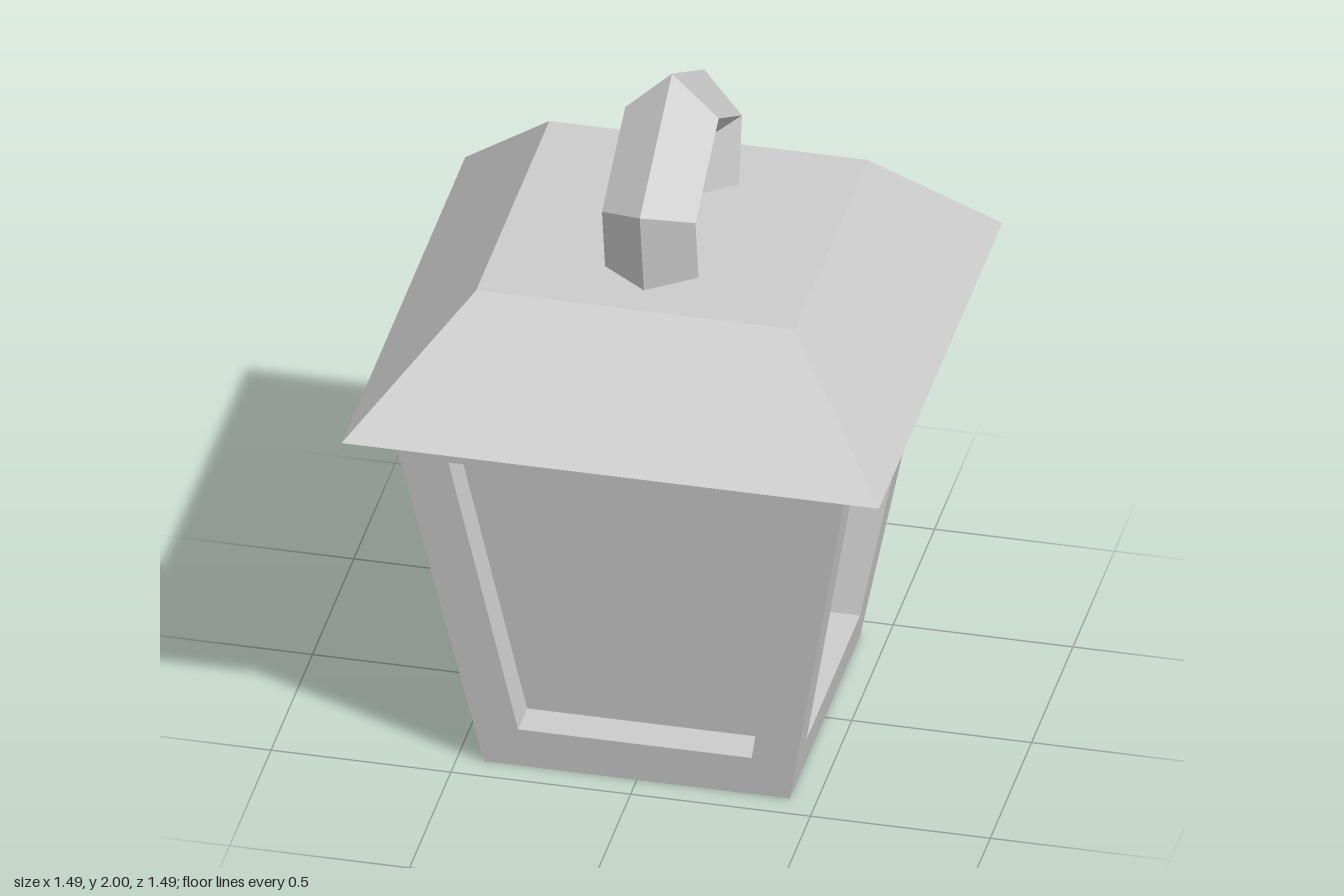
import * as THREE from 'three';

const material = new THREE.MeshStandardMaterial({ color: 0xcccccc, flatShading: true });

// Skin closed rings of points one after another; optionally cap the last ring.
function loft(rings, cap = false) {
  const pos = [];
  const tri = (...pts) => pts.forEach((p) => pos.push(...p));
  for (let k = 0; k < rings.length - 1; k++) {
    const a = rings[k], b = rings[k + 1];
    a.forEach((p, i) => {
      const j = (i + 1) % a.length;
      tri(p, a[j], b[j]);
      tri(p, b[j], b[i]);
    });
  }
  if (cap) {
    const e = rings[rings.length - 1];
    for (let i = 1; i < e.length - 1; i++) tri(e[0], e[i], e[i + 1]);
  }
  const g = new THREE.BufferGeometry();
  g.setAttribute('position', new THREE.Float32BufferAttribute(pos, 3));
  g.computeVertexNormals();
  return g;
}

function part(name, geometry) {
  const mesh = new THREE.Mesh(geometry, material);
  mesh.name = name;
  return mesh;
}

export function createModel() {
  const lantern = new THREE.Group();
  lantern.name = 'lantern';

  const bodyHeight = 1.17, baseHalf = 0.425, topHalf = 0.635, recess = 0.11;

  // Trapezoid lying on the sloping wall, pushed back along z by depth
  const wallRing = (y0, half0, y1, half1, depth) => {
    const z = (y) => baseHalf + ((topHalf - baseHalf) * y) / bodyHeight - depth;
    return [
      [-half0, y0, z(y0)], [half0, y0, z(y0)],
      [half1, y1, z(y1)], [-half1, y1, z(y1)],
    ];
  };

  // Four walls, each a frame around a recessed pane
  const wall = loft([
    wallRing(0, baseHalf, bodyHeight, topHalf, 0),
    wallRing(0.13, 0.325, 1.065, 0.48, 0),
    wallRing(0.13, 0.325, 1.065, 0.48, recess),
  ], true);
  ['front', 'left', 'back', 'right'].forEach((side, i) => {
    const mesh = part(side + 'Wall', wall);
    mesh.rotation.y = (i * Math.PI) / 2;
    lantern.add(mesh);
  });

  // Underside
  const base = part('base', new THREE.PlaneGeometry(2 * baseHalf, 2 * baseHalf));
  base.rotation.x = Math.PI / 2;
  lantern.add(base);

  // Overhanging hipped roof with a flat top
  const roofHeight = 0.345;
  const roof = part('roof', new THREE.CylinderGeometry(
    0.443 * Math.SQRT2, 0.747 * Math.SQRT2, roofHeight, 4));
  roof.geometry.rotateY(Math.PI / 4);
  roof.position.y = bodyHeight + roofHeight / 2;
  lantern.add(roof);

  // Carrying handle: diamond section along an angular arch, feet leaning inward
  const radii = [0.45, 0.325, 0.195, 0.325];
  const widths = [0, 0.13, 0, -0.13];
  const roofTop = 1.515, lean = 0.19;
  const archRing = (angle) => radii.map((r, i) =>
    [widths[i], 1.55 + r * Math.cos(angle), r * Math.sin(angle)]);
  const footRing = (ring) => ring.map(([x, y, z]) =>
    [x, roofTop, z - Math.sign(z) * lean * (y - roofTop)]);
  const shoulderA = archRing(Math.PI / 3), shoulderB = archRing(-Math.PI / 3);
  lantern.add(part('handle', loft([
    footRing(shoulderA), shoulderA, archRing(0), shoulderB, footRing(shoulderB),
  ])));

  return lantern;
}
